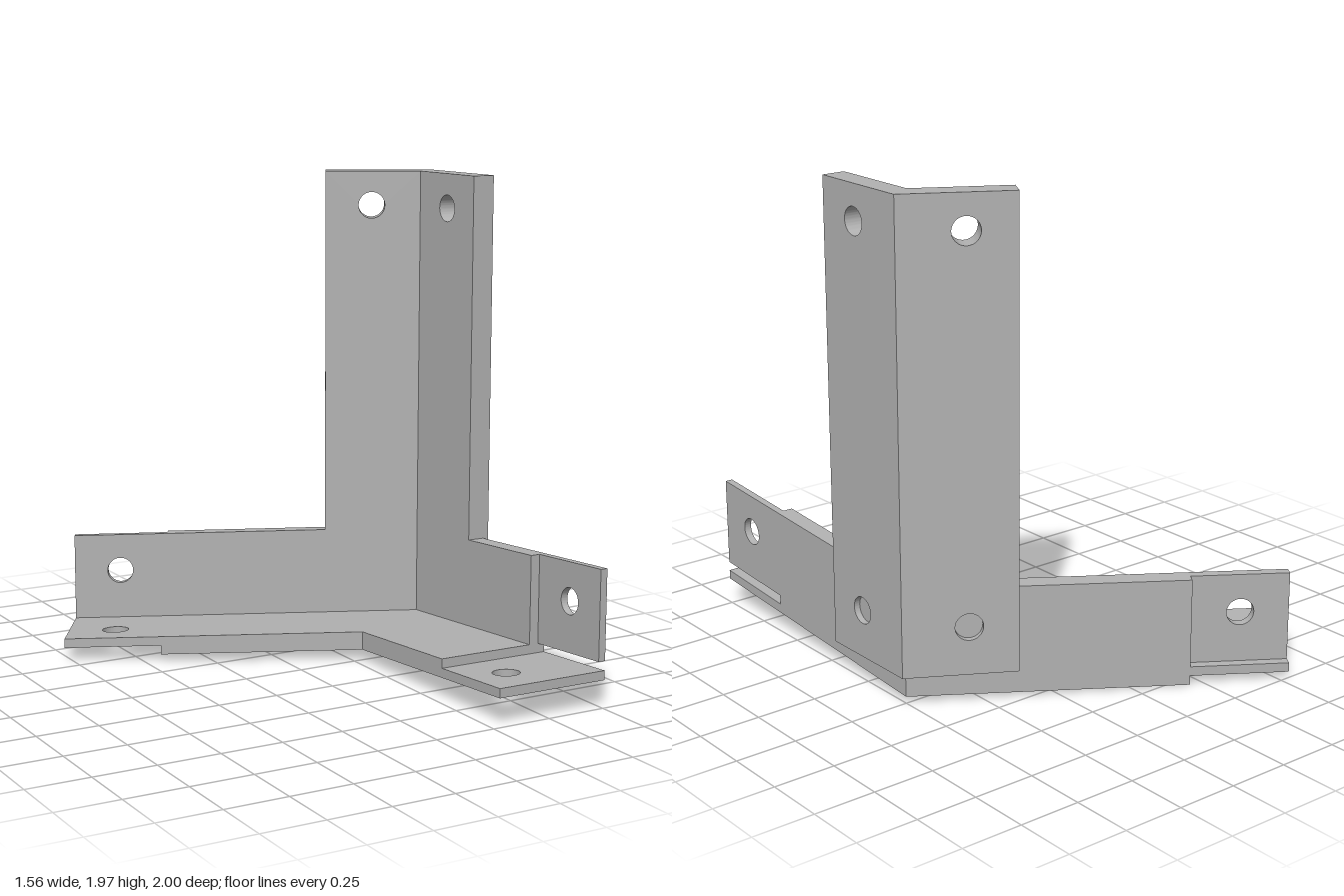
import * as THREE from 'three';
import { toCreasedNormals } from 'three/addons/utils/BufferGeometryUtils.js';

// Inner fold corner in plan, and the two arms meeting there at 120 degrees.
// "along" runs out along the arm, "out" points through the wall to the outside.
const CX = 0.685, CZ = -0.215;
const C30 = Math.cos(Math.PI / 6), MITRE = Math.tan(Math.PI / 6);
const FRONT = { along: [0, 1], out: [1, 0], flip: true, end: 1.215, step: 0.825, hole: 1.025 };
const BACK = { along: [-C30, -0.5], out: [0.5, -C30], flip: false, end: 1.453, step: 1.06, hole: 1.26 };
const HOLE_R = 0.054, WALL = 0.07, POST = 0.095, WIDTH = 0.48, FLOOR = 0.075, TOP = 0.435;

const plan = (arm, s, off) => [
  CX + arm.along[0] * s + arm.out[0] * off,
  CZ + arm.along[1] * s + arm.out[1] * off,
];

// The base slopes gently, rising to the front
const slope = (x, z) => 0.052 - 0.005 * x + 0.064 * z;

function circle(x, y) {
  const path = new THREE.Path();
  path.absarc(x, y, HOLE_R, 0, Math.PI * 2, true);
  return path;
}

function extrude(points, holes, depth) {
  const shape = new THREE.Shape(points.map(p => new THREE.Vector2(p[0], p[1])));
  shape.holes.push(...holes.map(h => circle(h[0], h[1])));
  return new THREE.ExtrudeGeometry(shape, { depth, bevelEnabled: false, curveSegments: 32 });
}

function shear(geo) {
  const p = geo.attributes.position;
  for (let i = 0; i < p.count; i++) p.setY(i, p.getY(i) + slope(p.getX(i), p.getZ(i)));
}

// Upright plate on one arm; an edge at s = 0 is mitred into its neighbour
function panel(arm, s0, s1, y0, y1, off0, off1, holes, sloped) {
  const geo = extrude([[s0, y0], [s1, y0], [s1, y1], [s0, y1]], holes, off1 - off0);
  const p = geo.attributes.position;
  for (let i = 0; i < p.count; i++) {
    const off = off0 + p.getZ(i);
    const s = p.getX(i) < 1e-4 ? -off * MITRE : p.getX(i);
    const [x, z] = plan(arm, s, off);
    p.setXYZ(i, x, p.getY(i), z);
  }
  if (arm.flip) {
    const a = new THREE.Vector3(), b = new THREE.Vector3();
    for (let i = 0; i < p.count; i += 3) {
      a.fromBufferAttribute(p, i + 1);
      b.fromBufferAttribute(p, i + 2);
      p.setXYZ(i + 1, b.x, b.y, b.z);
      p.setXYZ(i + 2, a.x, a.y, a.z);
    }
  }
  if (sloped) shear(geo);
  return toCreasedNormals(geo, 0.6);
}

// Bent floor layer reaching sFront and sBack along the two arms
function floorLayer(sFront, sBack, y, holeArm) {
  const inner = WALL - WIDTH;
  const outline = [
    plan(FRONT, sFront, WALL), plan(FRONT, -WALL * MITRE, WALL), plan(BACK, sBack, WALL),
    plan(BACK, sBack, inner), plan(FRONT, -inner * MITRE, inner), plan(FRONT, sFront, inner),
  ].map(([x, z]) => [x, -z]);
  const [hx, hz] = plan(holeArm, holeArm.hole, -0.25);
  const geo = extrude(outline, [[hx, -hz]], FLOOR / 2);
  geo.rotateX(-Math.PI / 2);
  geo.translate(0, y, 0);
  shear(geo);
  return toCreasedNormals(geo, 0.6);
}

export function createModel() {
  const group = new THREE.Group();
  group.name = 'cornerBracket';
  const steel = new THREE.MeshStandardMaterial({ color: 0xb2b2b2 });
  steel.name = 'grey steel';
  const add = (name, geo) => {
    const mesh = new THREE.Mesh(geo, steel);
    mesh.name = name;
    group.add(mesh);
  };

  // Floor in two layers, staggered to leave half-lap tongues at the ends
  add('lowerFloor', floorLayer(FRONT.end, BACK.step, 0, FRONT));
  add('upperFloor', floorLayer(FRONT.step, BACK.end, FLOOR / 2, BACK));

  for (const [name, arm] of [['front', FRONT], ['back', BACK]]) {
    // Full-thickness wall
    add(name + 'Wall', panel(arm, 0, arm.step, FLOOR, TOP, 0, WALL, [], true));
    // Thin drilled tongue: outer half on the front arm, inner half on the back arm
    const [o0, o1] = arm === FRONT ? [0.04, WALL] : [0, 0.035];
    add(name + 'WallTongue',
      panel(arm, arm.step, arm.end, FLOOR, TOP, o0, o1, [[arm.hole, 0.28]], true));
    // Upright post flange
    add(name + 'PostFlange',
      panel(arm, 0, 0.39, 0.118, 1.97, 0, POST, [[0.2, 0.312], [0.2, 1.83]], false));
  }
  return group;
}
